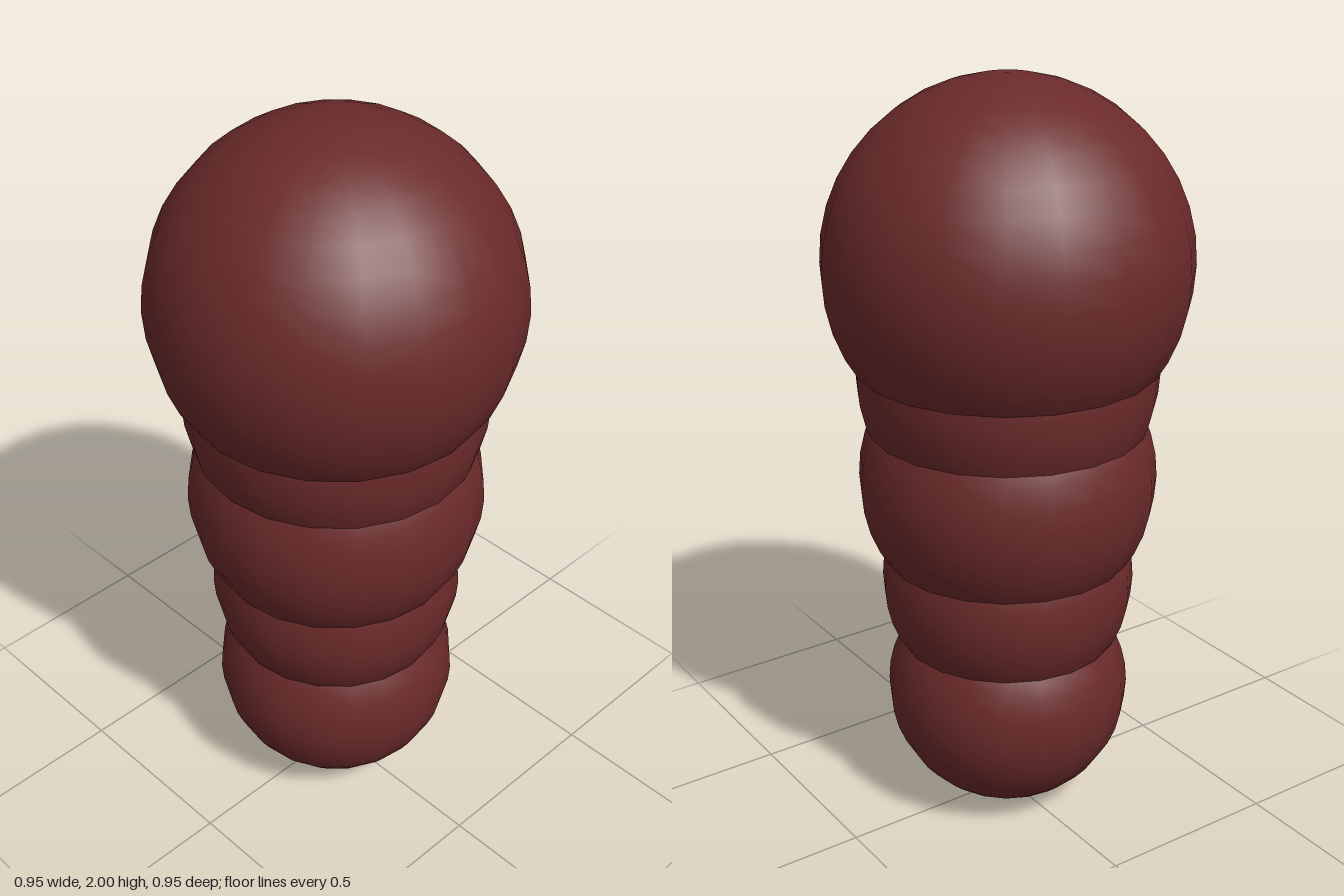
import * as THREE from 'three';

export function createModel() {
  const group = new THREE.Group();
  const material = new THREE.MeshStandardMaterial({ color: 0x6b2a2a });

  // Stack of overlapping balls: name, radius, centre height
  const balls = [
    ['bottomBall', 0.33, 0.33],
    ['lowerBall', 0.339, 0.655],
    ['middleBall', 0.394, 0.948],
    ['upperBall', 0.395, 1.243],
    ['topBall', 0.475, 1.525],
  ];
  for (const [name, radius, y] of balls) {
    const ball = new THREE.Mesh(new THREE.SphereGeometry(radius, 20, 20), material);
    ball.name = name;
    ball.position.y = y;
    group.add(ball);
  }
  return group;
}
